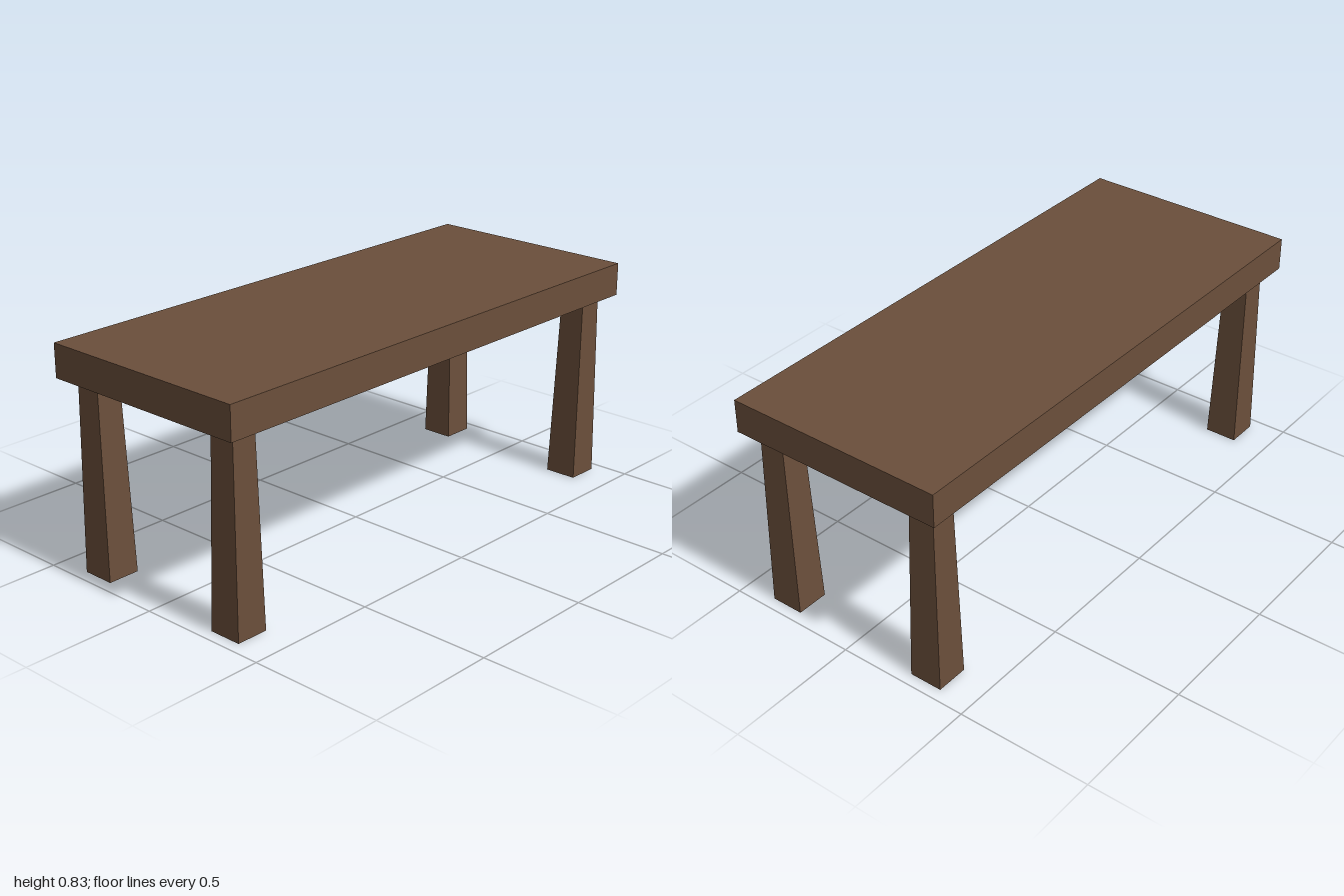
import * as THREE from 'three';

const LEG_HEIGHT = 0.71;
const TOP_THICKNESS = 0.123;

// Square leg, tapering upward; its outer faces lean less than its inner ones.
function taperedLeg(sideX, sideZ) {
  const geometry = new THREE.BoxGeometry(0.122, LEG_HEIGHT, 0.124);
  const p = geometry.attributes.position;
  for (let i = 0; i < p.count; i++) {
    if (p.getY(i) > 0) {
      p.setX(i, p.getX(i) * 0.775 + sideX * 0.007);
      p.setZ(i, p.getZ(i) * 0.775 + sideZ * 0.005);
    }
  }
  geometry.computeVertexNormals();
  return geometry;
}

export function createModel() {
  const wood = new THREE.MeshStandardMaterial({ color: 0x6b4f3b });
  wood.name = 'brown wood';

  const table = new THREE.Group();
  table.name = 'table';

  // Thick slab top
  const top = new THREE.Mesh(new THREE.BoxGeometry(2, TOP_THICKNESS, 0.83), wood);
  top.name = 'tabletop';
  top.position.y = LEG_HEIGHT + TOP_THICKNESS / 2;
  table.add(top);

  // Four corner legs
  for (const sx of [-1, 1]) {
    for (const sz of [-1, 1]) {
      const leg = new THREE.Mesh(taperedLeg(sx, sz), wood);
      leg.name = (sz > 0 ? 'front' : 'back') + (sx > 0 ? 'Left' : 'Right') + 'Leg';
      leg.position.set(sx * 0.894, LEG_HEIGHT / 2, sz * 0.313);
      table.add(leg);
    }
  }

  return table;
}
